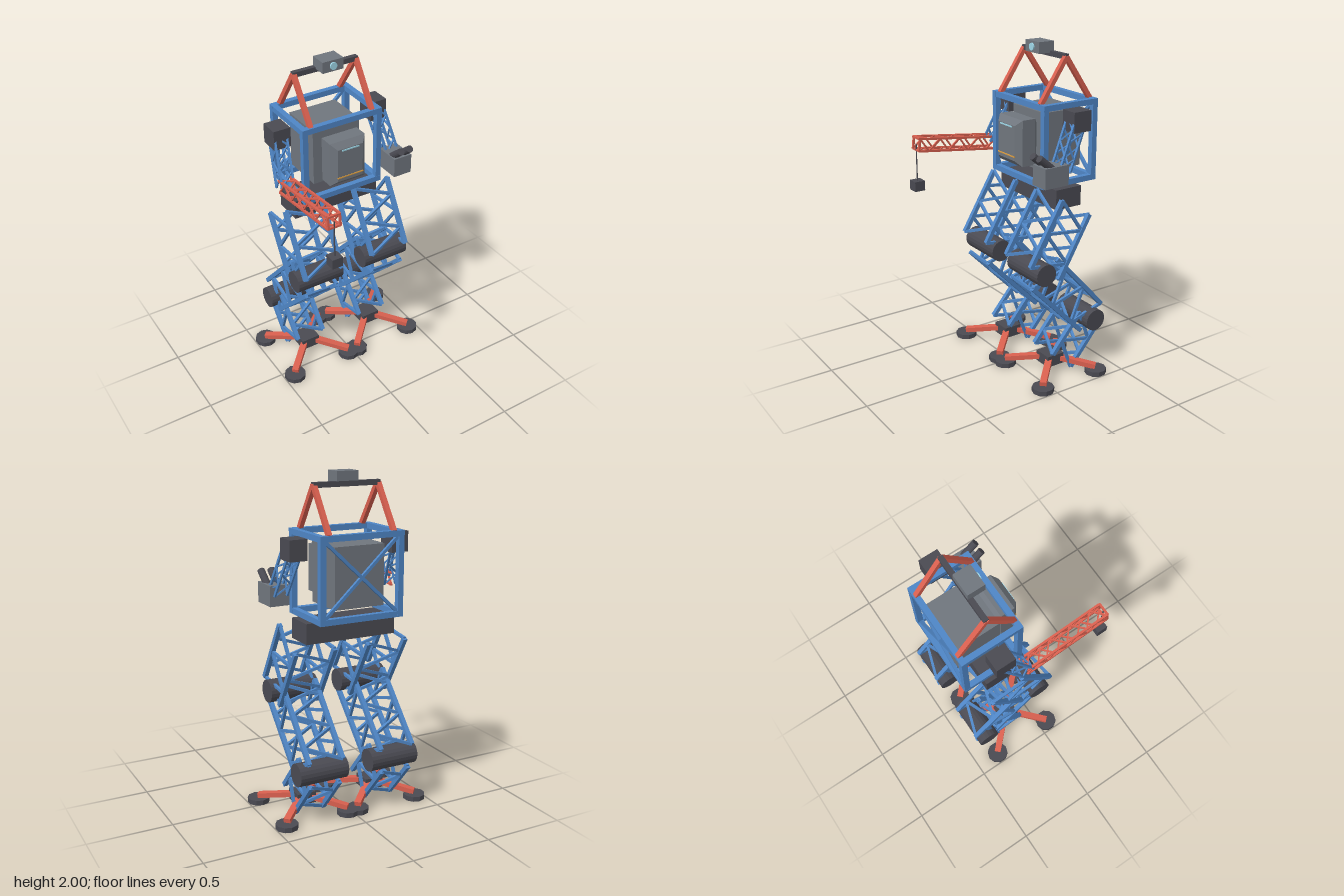
import * as THREE from 'three';

const mat = (color) => new THREE.MeshStandardMaterial({ color, flatShading: true });
const BLUE = mat(0x4f86c6), RED = mat(0xd9604f), DARK = mat(0x4a4a52), GREY = mat(0x70767e);
const CYAN = mat(0x9fd8e8), AMBER = mat(0xe0a040);
const V = (x, y, z) => new THREE.Vector3(x, y, z);

function add(parent, name, geometry, material, pos) {
  const m = new THREE.Mesh(geometry, material);
  m.name = name;
  m.position.copy(pos);
  parent.add(m);
  return m;
}

// Box given by its centre and size
const box = (parent, name, material, x, y, z, w, h, d) =>
  add(parent, name, new THREE.BoxGeometry(w, h, d), material, V(x, y, z));

// Rectangular bar between two points
function beam(parent, name, material, a, b, w, h = w) {
  const m = add(parent, name, new THREE.BoxGeometry(w, h, a.distanceTo(b)), material,
    a.clone().add(b).multiplyScalar(0.5));
  m.lookAt(b);
  return m;
}

// Round bar between two points
function rod(parent, name, material, a, b, r, sides) {
  const m = add(parent, name, new THREE.CylinderGeometry(r, r, a.distanceTo(b), sides), material,
    a.clone().add(b).multiplyScalar(0.5));
  m.quaternion.setFromUnitVectors(V(0, 1, 0), b.clone().sub(a).normalize());
  return m;
}

// Four chords with zigzag lacing on each face; corners run in a ring
function truss(parent, name, material, starts, ends, bays, chord, lace) {
  const g = new THREE.Group();
  g.name = name;
  parent.add(g);
  for (let k = 0; k < 4; k++) {
    const n = (k + 1) % 4;
    beam(g, 'chord', material, starts[k], ends[k], chord);
    for (let i = 0; i < bays; i++) {
      const [p, q] = i % 2 ? [n, k] : [k, n];
      beam(g, 'lacing', material, starts[p].clone().lerp(ends[p], i / bays),
        starts[q].clone().lerp(ends[q], (i + 1) / bays), lace);
    }
  }
  return g;
}

// Leg segment: front chord f0-f1 and rear chord r0-r1 as [z, y], half width hw about x
function legTruss(parent, name, x, hw, f0, f1, r0, r1, bays) {
  const ring = (f, r) => [V(x - hw, f[1], f[0]), V(x + hw, f[1], f[0]),
    V(x + hw, r[1], r[0]), V(x - hw, r[1], r[0])];
  truss(parent, name, BLUE, ring(f0, r0), ring(f1, r1), bays, 0.026, 0.017);
}

// Slim truss along the centre line a-b, square section of half width h
function armTruss(parent, name, material, a, b, h, bays) {
  const up = V(1, 0, 0).cross(b.clone().sub(a)).normalize().multiplyScalar(h);
  const ring = (p) => [[-1, -1], [1, -1], [1, 1], [-1, 1]].map(([i, j]) =>
    p.clone().add(V(i * h, 0, 0)).addScaledVector(up, j));
  return truss(parent, name, material, ring(a), ring(b), bays, 0.013, 0.009);
}

function buildTorso(root) {
  const g = new THREE.Group();
  g.name = 'torso';
  root.add(g);
  const t = 0.034, X = 0.245, Y = [1.207, 1.663], Z = [-0.07, -0.42];
  for (const s of [-1, 1]) {
    for (const z of Z) box(g, 'framePost', BLUE, s * X, 1.435, z, t, 0.49, t);
    for (const y of Y) box(g, 'frameSideRail', BLUE, s * X, y, -0.245, t, t, 0.385);
    // A-frame above the torso
    for (const z of Z) beam(g, 'rollBarLeg', RED, V(s * 0.202, 1.675, z), V(s * 0.202, 1.93, -0.243), 0.027);
    beam(g, 'rearBrace', BLUE, V(-s * X, Y[0], -0.42), V(s * X, Y[1], -0.42), 0.018);
  }
  for (const y of Y) for (const z of Z) box(g, 'frameCrossRail', BLUE, 0, y, z, 0.525, t, t);

  box(g, 'engineBlock', GREY, 0, 1.435, -0.265, 0.31, 0.35, 0.27);
  box(g, 'pelvis', DARK, 0, 1.12, -0.22, 0.57, 0.12, 0.18);

  // Bevelled cabin with window strip and sill light
  const b = 0.034, w = 0.117 - b, h = 0.138 - b;
  const shape = new THREE.Shape([[-w, -h], [w, -h], [w, h], [-w, h]].map(([x, y]) => new THREE.Vector2(x, y)));
  add(g, 'cabin', new THREE.ExtrudeGeometry(shape, {
    depth: 0.155 - 2 * b, bevelSize: b, bevelThickness: b, bevelSegments: 1,
  }), GREY, V(0, 1.437, -0.13 + b));
  box(g, 'windowStrip', CYAN, 0, 1.533, 0.025, 0.115, 0.008, 0.008);
  box(g, 'sillLight', AMBER, 0, 1.358, 0.025, 0.17, 0.007, 0.008);

  // Sensor head on the top bar
  box(g, 'rollBarTop', DARK, 0, 1.93, -0.245, 0.42, 0.03, 0.03);
  box(g, 'sensorHead', GREY, 0, 1.967, -0.207, 0.135, 0.066, 0.105);
  rod(g, 'sensorLens', CYAN, V(0, 1.967, -0.16), V(0, 1.967, -0.146), 0.022, 16);
}

function buildArms(root) {
  for (const s of [-1, 1]) {
    const g = new THREE.Group();
    g.name = s < 0 ? 'rightArm' : 'leftArm';
    root.add(g);
    box(g, 'shoulder', DARK, s * 0.323, 1.59, -0.238, 0.107, 0.12, 0.12);
    armTruss(g, 'upperArm', BLUE, V(s * 0.325, 1.6, -0.235), V(s * 0.357, 1.33, -0.105), 0.038, 4);

    if (s < 0) {
      // Crane boom with hanging weight
      const boom = armTruss(g, 'craneBoom', RED, V(-0.355, 1.335, -0.11), V(-0.355, 1.4, 0.425), 0.037, 8);
      for (const j of [-1, 1]) {
        beam(boom, 'tipUpright', RED, V(-0.355 + j * 0.037, 1.363, 0.43), V(-0.355 + j * 0.037, 1.437, 0.421), 0.012);
        box(boom, 'tipRung', RED, -0.355, 1.4 + j * 0.037, 0.425, 0.08, 0.012, 0.012);
      }
      rod(g, 'cable', DARK, V(-0.355, 1.4, 0.428), V(-0.355, 1.17, 0.428), 0.004, 6);
      box(g, 'hangingWeight', DARK, -0.355, 1.145, 0.428, 0.066, 0.06, 0.066);
    } else {
      // Tool block with twin tubes
      box(g, 'toolBlock', GREY, 0.354, 1.31, -0.036, 0.12, 0.12, 0.162);
      for (const j of [-1, 1]) {
        const x = 0.353 + j * 0.031;
        rod(g, 'toolTube', DARK, V(x, 1.335, -0.045), V(x, 1.427, 0.067), 0.022, 14);
      }
    }
  }
}

function buildLegs(root) {
  for (const s of [-1, 1]) {
    const g = new THREE.Group(), x = s * 0.233;
    g.name = s < 0 ? 'rightLeg' : 'leftLeg';
    root.add(g);
    legTruss(g, 'thigh', x, 0.123, [-0.12, 1.142], [0.099, 0.775], [-0.318, 1.02], [-0.105, 0.655], 4);
    legTruss(g, 'shin', x, 0.106, [0.073, 0.635], [-0.29, 0.265], [-0.1, 0.78], [-0.446, 0.405], 5);
    legTruss(g, 'ankleStrut', x, 0.092, [-0.292, 0.38], [-0.092, 0.147], [-0.432, 0.262], [-0.231, 0.025], 3);
    for (const [name, y, z] of [['kneeDrum', 0.714, 0.006], ['ankleDrum', 0.326, -0.373]])
      rod(g, name, DARK, V(x - 0.153, y, z), V(x + 0.153, y, z), 0.068, 20);

    // Four-toed foot
    box(g, 'footHub', DARK, x, 0.08, -0.144, 0.12, 0.07, 0.12);
    for (const i of [-1, 1]) for (const j of [-1, 1]) {
      const px = x + i * 0.2, pz = -0.144 + j * 0.2;
      beam(g, 'toe', RED, V(x + i * 0.03, 0.083, -0.144 + j * 0.03), V(px, 0.042, pz), 0.04, 0.03);
      rod(g, 'footPad', DARK, V(px, 0, pz), V(px, 0.03, pz), 0.067, 10);
    }
  }
}

export function createModel() {
  const root = new THREE.Group();
  root.name = 'walkerRobot';
  buildTorso(root);
  buildArms(root);
  buildLegs(root);
  return root;
}
